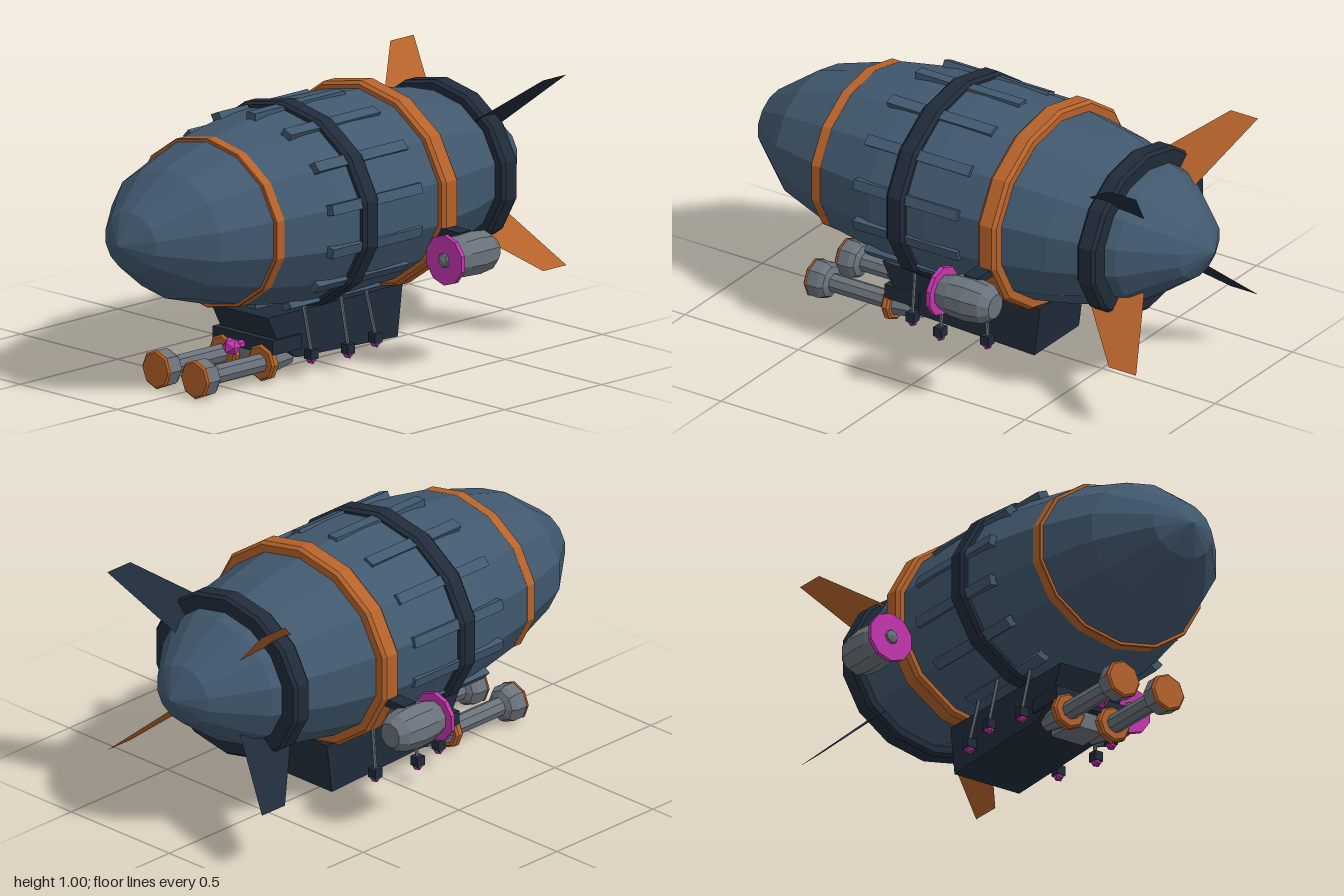
import * as THREE from 'three';

const mat = (name, color) => {
  const m = new THREE.MeshStandardMaterial({ color });
  m.name = name;
  return m;
};

// Faceted normals for the low-poly look
function flat(geo) {
  const g = geo.index ? geo.toNonIndexed() : geo;
  g.computeVertexNormals();
  return g;
}

// Lathe around the z axis; points are [z, radius] from back to front
function latheZ(points, sides) {
  const g = new THREE.LatheGeometry(points.map(([z, r]) => new THREE.Vector2(r, z)), sides);
  return g.rotateX(Math.PI / 2);
}

export function createModel() {
  const hullBlue = mat('hull blue', 0x41586e);
  const navy = mat('dark navy', 0x202b39);
  const copper = mat('copper', 0xb5622a);
  const steel = mat('steel grey', 0x6a727b);
  const magenta = mat('magenta', 0xc235ae);
  const copperFin = mat('copper fin', 0xb5622a);
  const navyFin = mat('navy fin', 0x202b39);
  copperFin.side = navyFin.side = THREE.DoubleSide;

  const model = new THREE.Group();
  const add = (name, geo, material, x = 0, y = 0, z = 0, parent = model) => {
    const m = new THREE.Mesh(flat(geo), material);
    m.name = name;
    m.position.set(x, y, z);
    parent.add(m);
    return m;
  };
  const box = (w, h, d) => new THREE.BoxGeometry(w, h, d);

  const SIDES = 14, CY = 0.62, SQUASH = 0.86;

  // Envelope
  const half = [[1, 0], [0.93, 0.133], [0.75, 0.285], [0.5, 0.37], [0.25, 0.418]];
  const profile = [...half.map(([z, r]) => [-z, r]), [0, 0.43], ...half.slice().reverse()];
  add('envelope', latheZ(profile, SIDES).scale(1, SQUASH, 1), hullBlue, 0, CY);

  // Bevelled bands around the envelope
  const band = (name, z, w, r, depth, bevel, material) => {
    const h = w / 2;
    const pts = [[-h, r - depth], [-h, r - bevel], [-h + bevel, r], [h - bevel, r], [h, r - bevel], [h, r - depth]];
    add(name, latheZ(pts, SIDES).scale(1, SQUASH, 1), material, 0, CY, z);
  };
  band('frontBand', 0.517, 0.045, 0.371, 0.03, 0.003, copper);
  band('middleBand', 0.12, 0.08, 0.45, 0.05, 0.013, navy);
  band('rearBand', -0.285, 0.08, 0.45, 0.06, 0.013, copper);
  band('tailBand', -0.67, 0.08, 0.37, 0.1, 0.013, navy);

  // Lengthwise ribs
  for (let i = 0; i < SIDES; i++) {
    const a = (i / SIDES) * Math.PI * 2;
    const g = box(0.045, 0.035, 0.46).translate(0, 0.4165, 0).rotateZ(a).scale(1, SQUASH, 1);
    add('rib', g, hullBlue, 0, CY, 0.08);
  }

  // Tail fins: thin swept plates on the diagonals, [outward fraction, z]
  const finOutline = [[0.59, -0.605], [1, -0.8], [1, -0.92], [0.42, -0.8]];
  for (const sx of [-1, 1]) for (const sy of [-1, 1]) {
    const g = new THREE.BufferGeometry();
    const p = finOutline.flatMap(([s, z]) => [sx * s * 0.395, sy * s * 0.36, z]);
    g.setAttribute('position', new THREE.Float32BufferAttribute(p, 3));
    g.setIndex([0, 1, 2, 0, 2, 3]);
    add('tailFin', g, sx === sy ? navyFin : copperFin, 0, CY);
  }

  // Gondola, extruded from its side profile
  const side = new THREE.Shape([
    [0.37, 0.255], [-0.325, 0.255], [-0.3, 0.06], [0.22, 0.08], [0.31, 0.14],
  ].map(([z, y]) => new THREE.Vector2(-z, y)));
  const cabin = new THREE.ExtrudeGeometry(side, { depth: 0.29, bevelEnabled: false });
  add('gondola', cabin.translate(0, 0, -0.145).rotateY(Math.PI / 2), navy);
  add('gondolaNose', box(0.31, 0.055, 0.15), navy, 0, 0.14, 0.28);
  add('gunMount', box(0.14, 0.065, 0.13), steel, 0, 0.073, 0.27);

  // Nose lamp
  add('noseLampStem', new THREE.CylinderGeometry(0.015, 0.015, 0.06, 6).rotateX(Math.PI / 2), magenta, 0, 0.13, 0.375);
  add('noseLamp', new THREE.IcosahedronGeometry(0.036, 0), magenta, 0, 0.13, 0.41);

  for (const s of [-1, 1]) {
    // Twin cannons
    const cannon = new THREE.Group();
    cannon.name = 'cannon';
    cannon.position.set(s * 0.1, 0.077, 0);
    model.add(cannon);
    add('barrel', latheZ([[0.22, 0], [0.22, 0.03], [0.33, 0.05], [0.36, 0.036], [0.615, 0.036],
      [0.625, 0.06], [0.645, 0.072], [0.69, 0.072], [0.695, 0.068], [0.695, 0]], 8), steel, 0, 0, 0, cannon);
    add('collar', latheZ([[0.33, 0], [0.33, 0.062], [0.338, 0.07], [0.357, 0.07],
      [0.365, 0.062], [0.365, 0]], 8), copper, 0, 0, 0, cannon);
    add('muzzle', latheZ([[0.69, 0], [0.69, 0.074], [0.697, 0.074], [0.704, 0.066], [0.704, 0]], 8),
      copper, 0, 0, 0, cannon);

    // Engine pod with propeller disc and strut
    const pod = new THREE.Group();
    pod.name = 'enginePod';
    pod.position.set(s * 0.535, 0.45, 0);
    model.add(pod);
    add('podBody', latheZ([[-0.395, 0], [-0.395, 0.048], [-0.36, 0.075], [-0.29, 0.084],
      [-0.22, 0.08], [-0.16, 0.062], [-0.16, 0]], 10), steel, 0, 0, 0, pod);
    add('propellerDisc', latheZ([[-0.168, 0], [-0.168, 0.095], [-0.15, 0.095], [-0.15, 0]], 10),
      magenta, 0, 0, 0, pod);
    add('spinner', latheZ([[-0.15, 0.028], [-0.143, 0.024], [-0.135, 0]], 8), steel, 0, 0, 0, pod);
    add('podStrut', box(0.14, 0.03, 0.06), navy, s * 0.45, 0.517, -0.275);

    // Hanging charges on rods: [top x, bottom x, top z, bottom z]
    for (const [tx, bx, tz, bz] of [[0.165, 0.2, 0.21, 0.2], [0.2, 0.24, 0.05, 0.05], [0.165, 0.2, -0.11, -0.13]]) {
      const path = new THREE.LineCurve3(new THREE.Vector3(s * tx, 0.3, tz), new THREE.Vector3(s * bx, 0.11, bz));
      add('hangingRod', new THREE.TubeGeometry(path, 1, 0.007, 6), steel);
      add('chargeHolder', box(0.037, 0.037, 0.037), navy, s * bx, 0.1, bz);
      add('charge', new THREE.IcosahedronGeometry(0.02, 0), magenta, s * bx, 0.08, bz);
    }
  }
  return model;
}
